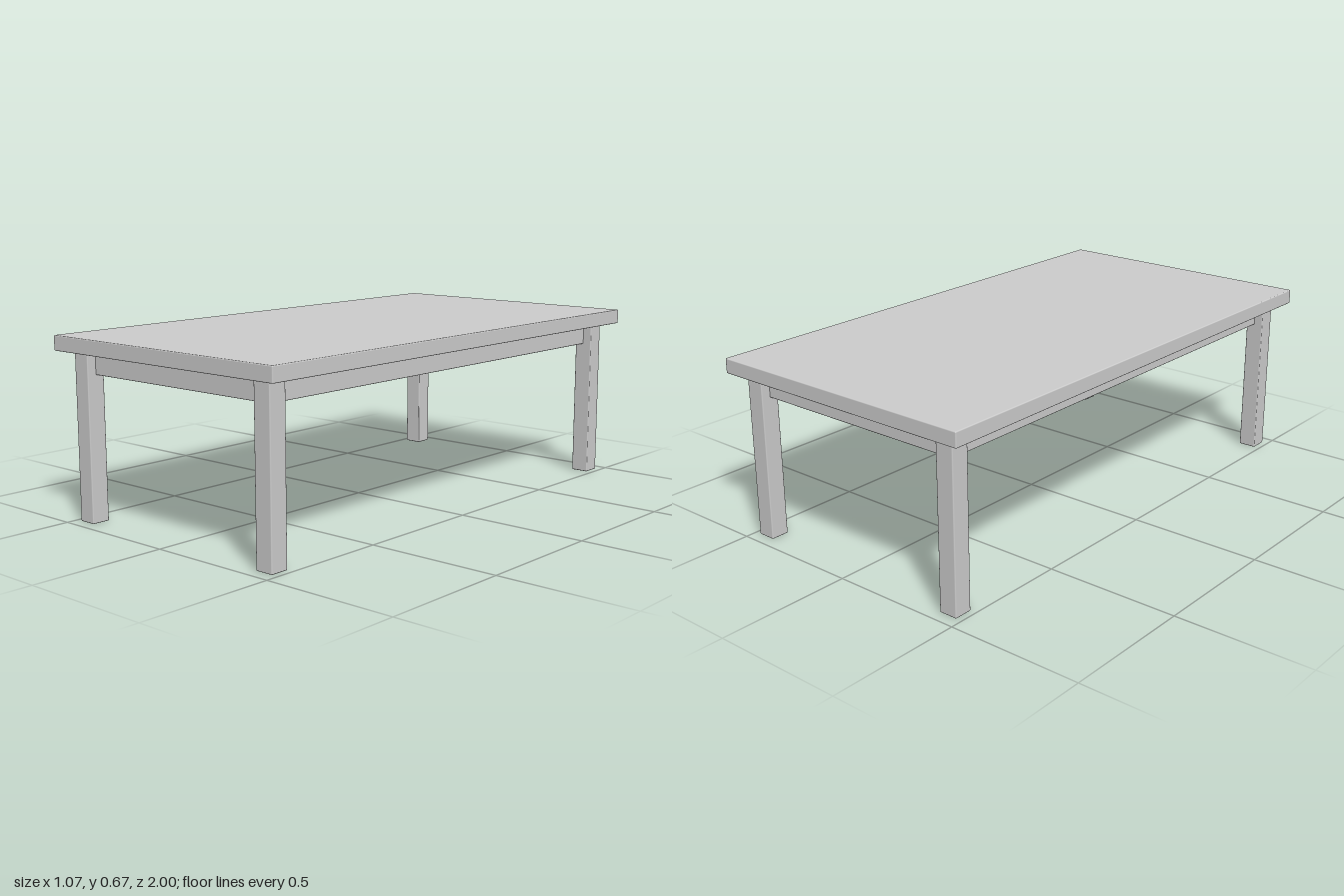
import * as THREE from 'three';
import { RoundedBoxGeometry } from 'three/addons/geometries/RoundedBoxGeometry.js';

const material = new THREE.MeshStandardMaterial({ color: 0xcccccc });

// Softly edged box given its size, bottom height and centre
function box(name, w, h, d, x, bottom, z) {
  const mesh = new THREE.Mesh(new RoundedBoxGeometry(w, h, d, 2, 0.004), material);
  mesh.name = name;
  mesh.position.set(x, bottom + h / 2, z);
  return mesh;
}

export function createModel() {
  const table = new THREE.Group();
  table.name = 'table';

  const legX = 0.443, legZ = 0.921, legSize = 0.07;

  // Top slab
  table.add(box('tableTop', 1.07, 0.055, 2, 0, 0.612, 0));

  // Solid underframe, its sides running between the leg centres
  table.add(box('underframe', legX * 2, 0.082, legZ * 2, 0, 0.53, 0));

  // Four square legs
  for (const [sx, side] of [[1, 'Left'], [-1, 'Right']]) {
    for (const [sz, end] of [[1, 'front'], [-1, 'back']]) {
      table.add(box(`${end}${side}Leg`, legSize, 0.616, legSize, sx * legX, 0, sz * legZ));
    }
  }
  return table;
}
